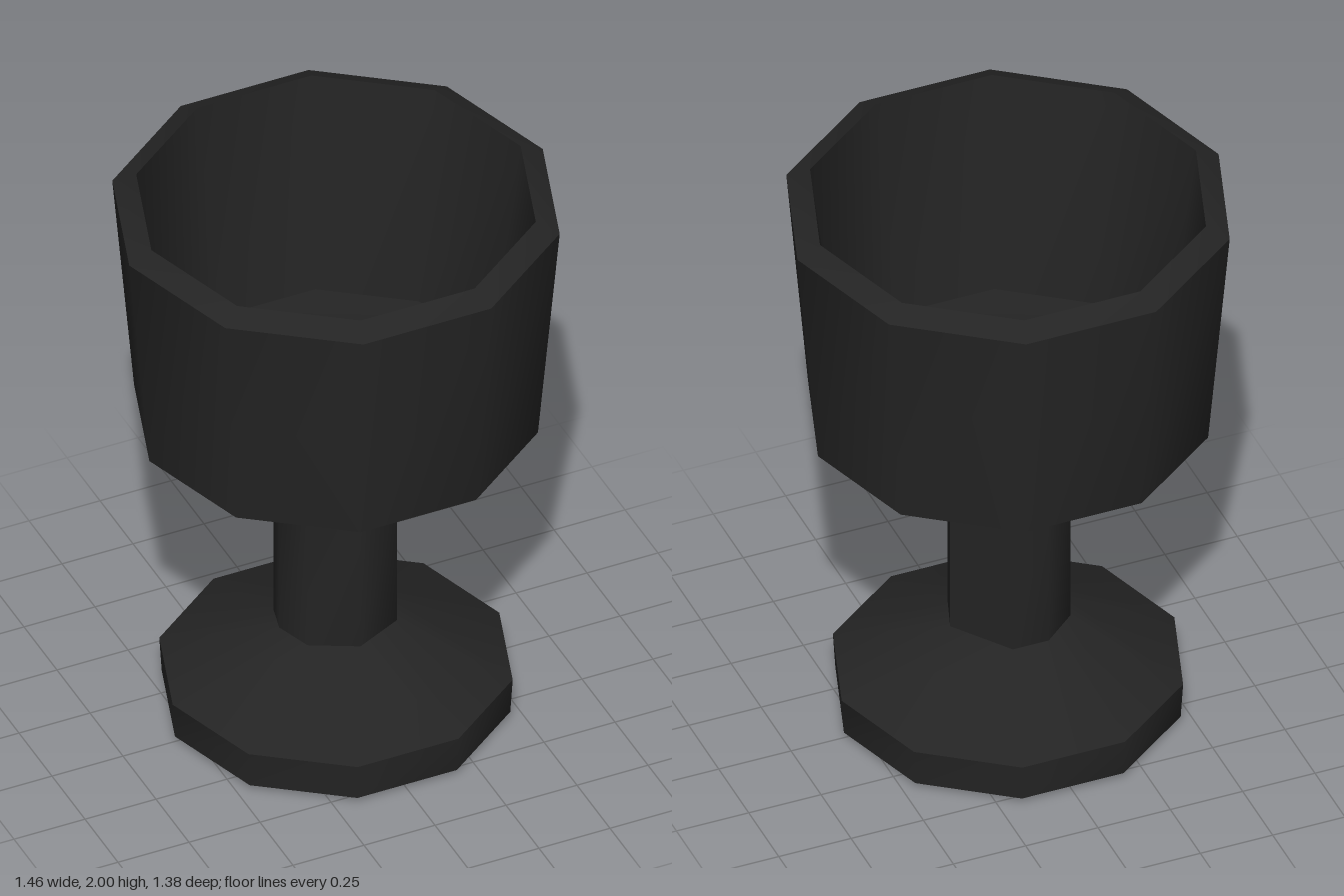
import * as THREE from 'three';
import { toCreasedNormals } from 'three/addons/utils/BufferGeometryUtils.js';

// Angles (degrees) of the ten corners; the stem has a few corners merged
const decagon = Array.from({ length: 10 }, (_, i) => i * 36);
const stemAngles = [0, 38, 92, 92, 142, 180, 208, 252, 288, 288];

// Ring of corners with radius r at height y
function ring(r, y, angles = decagon) {
  return angles.map((a) => {
    const t = THREE.MathUtils.degToRad(a);
    return new THREE.Vector3(Math.cos(t) * r, y, Math.sin(t) * r);
  });
}

// Skin a stack of rings, leaving out collapsed triangles
function loft(rings, crease) {
  const points = [];
  const tri = new THREE.Triangle();
  const add = (a, b, c) => {
    tri.set(a, b, c);
    if (tri.getArea() > 1e-7) points.push(a, b, c);
  };
  for (let k = 0; k < rings.length - 1; k++) {
    const low = rings[k], high = rings[k + 1];
    for (let i = 0; i < low.length; i++) {
      const j = (i + 1) % low.length;
      add(low[i], high[i], low[j]);
      add(high[i], high[j], low[j]);
    }
  }
  const geometry = new THREE.BufferGeometry().setFromPoints(points);
  return toCreasedNormals(geometry, crease);
}

export function createModel() {
  const group = new THREE.Group();
  group.name = 'goblet';
  const material = new THREE.MeshStandardMaterial({ color: 0x242424 });
  material.name = 'charcoal';

  const addPart = (name, rings, crease) => {
    const mesh = new THREE.Mesh(loft(rings, crease), material);
    mesh.name = name;
    group.add(mesh);
  };

  const stemBottom = ring(0.2, 0.34, stemAngles);
  const stemTop = ring(0.2, 0.83, stemAngles);

  // Foot: shallow underside, short side wall, sloping top
  addPart('foot', [ring(0, 0), ring(0.567, 0.02), ring(0.575, 0.15), stemBottom], 0.75);

  // Stem
  addPart('stem', [stemBottom, stemTop], 0.925);

  // Bowl: cone, outer wall, bevelled rim, inner wall, floor
  addPart('bowl', [
    stemTop,
    ring(0.657, 1.155),
    ring(0.728, 1.963),
    ring(0.65, 2),
    ring(0.547, 1.22),
    ring(0, 1.21),
  ], 0.75);

  return group;
}
